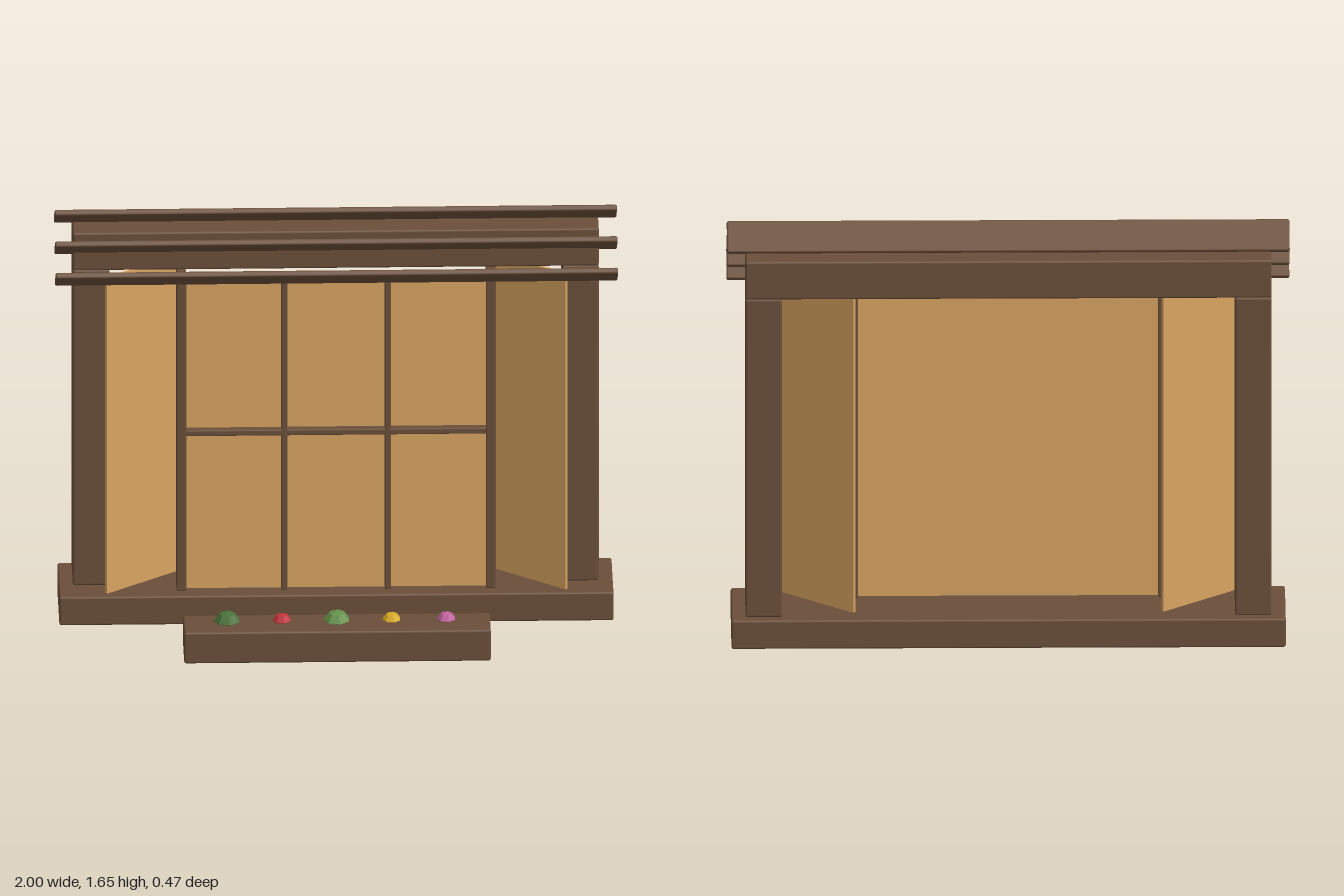
import * as THREE from 'three';
import { RoundedBoxGeometry } from 'three/addons/geometries/RoundedBoxGeometry.js';

const wood = new THREE.MeshStandardMaterial({ color: 0x6b4f3a });
const paper = new THREE.MeshStandardMaterial({ color: 0xd9a462 });

export function createModel() {
  const model = new THREE.Group();

  const add = (name, geometry, material, x, y, z) => {
    const mesh = new THREE.Mesh(geometry, material);
    mesh.name = name;
    mesh.position.set(x, y, z);
    model.add(mesh);
    return mesh;
  };
  // Timber with softly rounded edges
  const beam = (name, w, h, d, x, y, z, r = 0.008) =>
    add(name, new RoundedBoxGeometry(w, h, d, 2, r), wood, x, y, z);

  // Outer frame
  beam('sill', 1.97, 0.11, 0.315, 0, 0.14, -0.078);
  beam('lintel', 1.87, 0.145, 0.2, 0, 1.49, -0.115);

  // Posts, side stiles and angled shutters, mirrored
  for (const side of [-1, 1]) {
    beam('post', 0.13, 1.22, 0.19, side * 0.87, 0.807, -0.115);
    beam('sideStile', 0.035, 1.22, 0.07, side * 0.55, 0.807, 0.003, 0.005);
    const shutter = add('shutter', new THREE.BoxGeometry(0.345, 1.22, 0.012), paper,
      side * 0.683, 0.807, -0.057);
    shutter.rotation.y = -side * 0.667;
  }

  // Central pane with glazing bars on its front
  add('pane', new THREE.BoxGeometry(1.08, 1.21, 0.012), paper, 0, 0.8, 0);
  for (const x of [-0.184, 0.184]) {
    beam('verticalBar', 0.022, 1.21, 0.034, x, 0.8, 0.018, 0.004);
  }
  beam('horizontalBar', 1.09, 0.022, 0.034, 0, 0.805, 0.018, 0.004);

  // Tilted awning slats, stepping up and back
  for (let i = 0; i < 3; i++) {
    const slat = beam('awningSlat', 2, 0.022, 0.132, 0, 1.432 + i * 0.085, 0.093 - i * 0.086, 0.007);
    slat.rotation.x = -0.61;
  }

  // Flower box and plants
  beam('flowerBox', 1.09, 0.12, 0.16, 0, 0.06, 0.155);
  const plants = [
    [0x4a7038, 0.05], [0xc0343c, 0.035], [0x64904a, 0.05], [0xd6a820, 0.035], [0xc0609c, 0.035],
  ];
  plants.forEach(([color, r], i) => {
    const material = new THREE.MeshStandardMaterial({ color, flatShading: true });
    add(r > 0.04 ? 'leaves' : 'flower', new THREE.SphereGeometry(r, 7, 5), material,
      (i - 2) * 0.195, r > 0.04 ? 0.107 : 0.112, 0.128);
  });

  return model;
}
